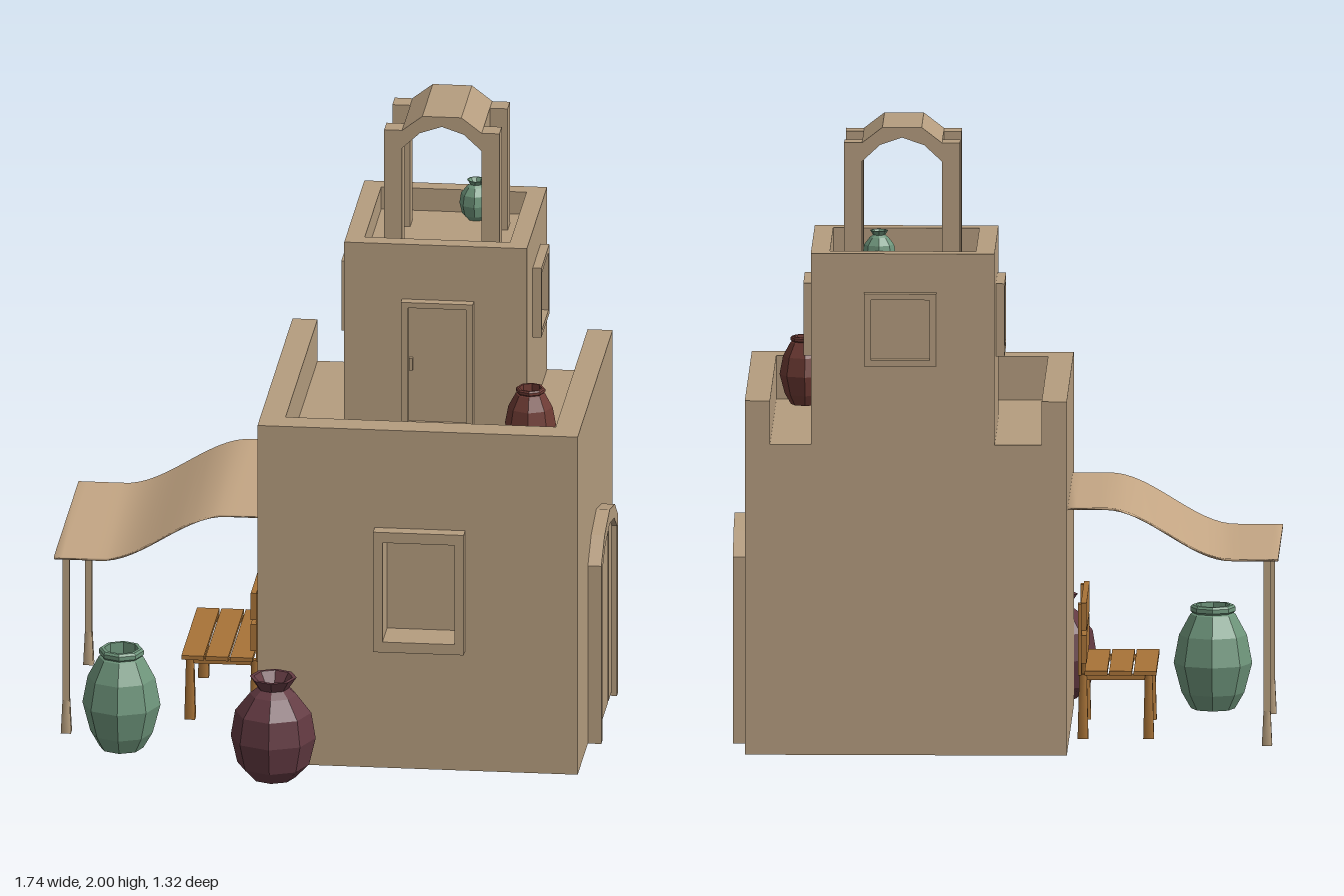
import * as THREE from 'three';
import { mergeVertices } from 'three/addons/utils/BufferGeometryUtils.js';

const mat = (name, color, extra = {}) =>
  Object.assign(new THREE.MeshStandardMaterial({ color, ...extra }), { name });

export function createModel() {
  const model = new THREE.Group();
  model.name = 'clayHouse';
  const clay = mat('clay', 0xb59d7f);
  const cloth = mat('cloth', 0xc4a684, { side: THREE.DoubleSide });
  const wood = mat('wood', 0xa87338);
  const pole = mat('paleWood', 0xb8a080);
  const potMat = { flatShading: true, side: THREE.DoubleSide };
  const green = mat('greenGlaze', 0x6f967c, potMat);
  const plum = mat('plumGlaze', 0x633a42, potMat);
  const red = mat('redGlaze', 0x6e3b34, potMat);

  const add = (name, geo, material, parent = model) => {
    const mesh = new THREE.Mesh(geo, material);
    mesh.name = name;
    parent.add(mesh);
    return mesh;
  };
  // Box given by its minimum and maximum corners
  const box = (name, x0, x1, y0, y1, z0, z1, material = clay, parent = model) => {
    const m = add(name, new THREE.BoxGeometry(x1 - x0, y1 - y0, z1 - z0), material, parent);
    m.position.set((x0 + x1) / 2, (y0 + y1) / 2, (z0 + z1) / 2);
    return m;
  };
  const poly = pts => pts.map(p => new THREE.Vector2(...p));
  const rect = (x0, x1, y0, y1) => poly([[x0, y0], [x1, y0], [x1, y1], [x0, y1]]);
  // Outline with an optional hole, extruded along +z
  const slab = (name, outer, hole, depth, material = clay, parent = model) => {
    const s = new THREE.Shape(outer);
    if (hole) s.holes.push(new THREE.Path(hole));
    return add(name, new THREE.ExtrudeGeometry(s, { depth, bevelEnabled: false }), material, parent);
  };

  // Main block: core, front wall with window niche, parapets open at the back
  box('houseCore', -0.2, 0.825, 0, 1.0, -0.635, 0.3);
  slab('frontWall', rect(-0.2, 0.825, 0, 1.14), rect(0.205, 0.435, 0.44, 0.775), 0.09).position.z = 0.3;
  box('rightParapet', -0.2, -0.12, 1.0, 1.14, -0.635, 0.3);
  box('leftParapet', 0.745, 0.825, 1.0, 1.14, -0.635, 0.3);
  slab('frontWindowFrame', rect(0.175, 0.465, 0.405, 0.81), rect(0.205, 0.435, 0.44, 0.775), 0.045).position.z = 0.39;

  // Upper tower with walled roof
  box('towerCore', 0.03, 0.615, 1.0, 1.54, -0.635, -0.045);
  const rim = slab('towerParapet', rect(0.03, 0.615, 0.045, 0.635), rect(0.09, 0.555, 0.1, 0.58), 0.075);
  rim.rotation.x = -Math.PI / 2;
  rim.position.y = 1.54;

  // Tower windows on both sides and the back
  [[0.615, -0.33, Math.PI / 2], [0.03, -0.33, -Math.PI / 2], [0.33, -0.635, Math.PI]].forEach(([x, z, ry], i) => {
    const m = slab('towerWindowFrame' + (i + 1), rect(-0.115, 0.115, -0.117, 0.117), rect(-0.093, 0.093, -0.097, 0.097), 0.028);
    m.position.set(x, 1.373, z);
    m.rotation.y = ry;
  });

  // Tower door
  slab('towerDoorFrame', poly([[0.215, 1], [0.237, 1], [0.237, 1.412], [0.423, 1.412], [0.423, 1], [0.445, 1], [0.445, 1.43], [0.215, 1.43]]),
    null, 0.033).position.z = -0.045;
  box('towerDoorPanel', 0.237, 0.423, 1.0, 1.412, -0.045, -0.03);
  box('towerDoorHandle', 0.24, 0.252, 1.2, 1.24, -0.03, -0.015);
  box('towerDoorStep', 0.215, 0.445, 1.0, 1.025, -0.045, 0.06);

  // Arched side door: local x points to -z
  const door = new THREE.Group();
  door.name = 'sideDoor';
  door.position.set(0.825, 0, -0.157);
  door.rotation.y = Math.PI / 2;
  model.add(door);
  slab('sideDoorFrame', poly([[-0.248, 0], [-0.212, 0], [-0.212, 0.575], [-0.13, 0.63], [0, 0.657], [0.13, 0.63], [0.212, 0.575],
    [0.212, 0], [0.248, 0], [0.248, 0.6], [0.15, 0.67], [0, 0.705], [-0.15, 0.67], [-0.248, 0.6]]), null, 0.043, clay, door);
  const archY = x => 0.657 - 0.027 * Math.min(Math.abs(x) / 0.13, 1) - 0.055 * Math.max((Math.abs(x) - 0.13) / 0.082, 0);
  const cuts = [-0.212, -0.108, 0, 0.113, 0.212];
  for (let i = 0; i < 4; i++) {
    const a = cuts[i] + 0.005, b = cuts[i + 1] - 0.005, mid = i < 2 ? -0.13 : 0.13;
    const top = [b, mid, a].filter(x => x >= a && x <= b).map(x => [x, archY(x)]);
    slab('doorPlank' + (i + 1), poly([[a, 0.015], [b, 0.015], ...top]), null, 0.026, clay, door);
  }

  // Arch canopy on four posts
  for (const [i, x] of [0.143, 0.455].entries())
    for (const [j, z] of [-0.49, -0.25].entries())
      box(`archPost${i * 2 + j + 1}`, x, x + 0.057, 1.54, 1.95, z, z + 0.067);
  slab('archRoof', poly([[0.2, 1.89], [0.257, 1.943], [0.3275, 1.967], [0.398, 1.943], [0.455, 1.89],
    [0.455, 1.95], [0.39, 2], [0.265, 2], [0.2, 1.95]]), null, 0.31).position.z = -0.492;

  // Awning: curved sheet with softened edges
  const curve = [];
  for (let i = 0; i <= 24; i++) {
    const x = -0.87 + 0.67 * i / 24;
    curve.push([x, 0.606 + 0.164 * THREE.MathUtils.smoothstep(x, -0.72, -0.32)]);
  }
  const sheet = slab('awning', poly([...curve, ...curve.map(([x, y]) => [x, y + 0.008]).reverse()]), null, 0.725, cloth);
  sheet.position.z = -0.495;
  sheet.geometry.deleteAttribute('normal');
  sheet.geometry.deleteAttribute('uv');
  sheet.geometry = mergeVertices(sheet.geometry, 1e-4);
  sheet.geometry.computeVertexNormals();
  for (const [i, z] of [-0.465, 0.19].entries()) {
    box('awningPole' + (i + 1), -0.845, -0.823, 0.12, 0.607, z - 0.011, z + 0.011, pole);
    const foot = add('poleFoot' + (i + 1), new THREE.CylinderGeometry(0.016, 0.023, 0.11, 4), pole);
    foot.rotation.y = Math.PI / 4;
    foot.position.set(-0.834, 0.065, z);
  }

  // Bench against the right wall
  const bench = new THREE.Group();
  bench.name = 'bench';
  model.add(bench);
  for (let i = 0; i < 3; i++)
    box('seatPlank' + (i + 1), -0.48 + i * 0.078, -0.408 + i * 0.078, 0.222, 0.236, -0.4, 0.06, wood, bench);
  for (const [i, y] of [0.26, 0.365].entries())
    box('backPlank' + (i + 1), -0.258, -0.24, y, y + 0.09, -0.4, 0.06, wood, bench);
  for (const [i, z] of [-0.37, 0.03].entries()) {
    box('backPost' + (i + 1), -0.242, -0.23, 0.22, 0.45, z - 0.018, z + 0.018, wood, bench);
    box('seatRail' + (i + 1), -0.465, -0.235, 0.205, 0.222, z - 0.012, z + 0.012, wood, bench);
    for (const x of [-0.455, -0.246]) {
      const leg = add('benchLeg', new THREE.CylinderGeometry(0.017, 0.024, 0.205, 4), wood, bench);
      leg.rotation.y = Math.PI / 4;
      leg.position.set(x, 0.118, z);
    }
  }

  // Eight-sided pots: tall jar and flared urn
  const jar = [[0, 0.008], [0.07, 0.008], [0.1, 0.06], [0.125, 0.155], [0.108, 0.245], [0.072, 0.312], [0.066, 0.316],
    [0.072, 0.322], [0.072, 0.335], [0.066, 0.342], [0.055, 0.342], [0.055, 0.29], [0, 0.29]];
  const urn = [[0, 0.002], [0.07, 0.004], [0.115, 0.05], [0.136, 0.14], [0.122, 0.225], [0.075, 0.285], [0.05, 0.305],
    [0.075, 0.342], [0.062, 0.342], [0.038, 0.305], [0.038, 0.28], [0, 0.28]];
  const pot = (name, profile, material, x, y, z, s = 1) => {
    const m = add(name, new THREE.LatheGeometry(poly(profile), 8), material);
    m.position.set(x, y, z);
    m.scale.setScalar(s);
  };
  pot('greenJar', jar, green, -0.645, 0, 0.305);
  pot('plumUrn', urn, plum, -0.135, 0, 0.525);
  pot('redJar', jar, red, 0.65, 1.0, 0.17, 0.655);
  pot('smallGreenUrn', urn, green, 0.4, 1.54, -0.52, 0.39);
  return model;
}
